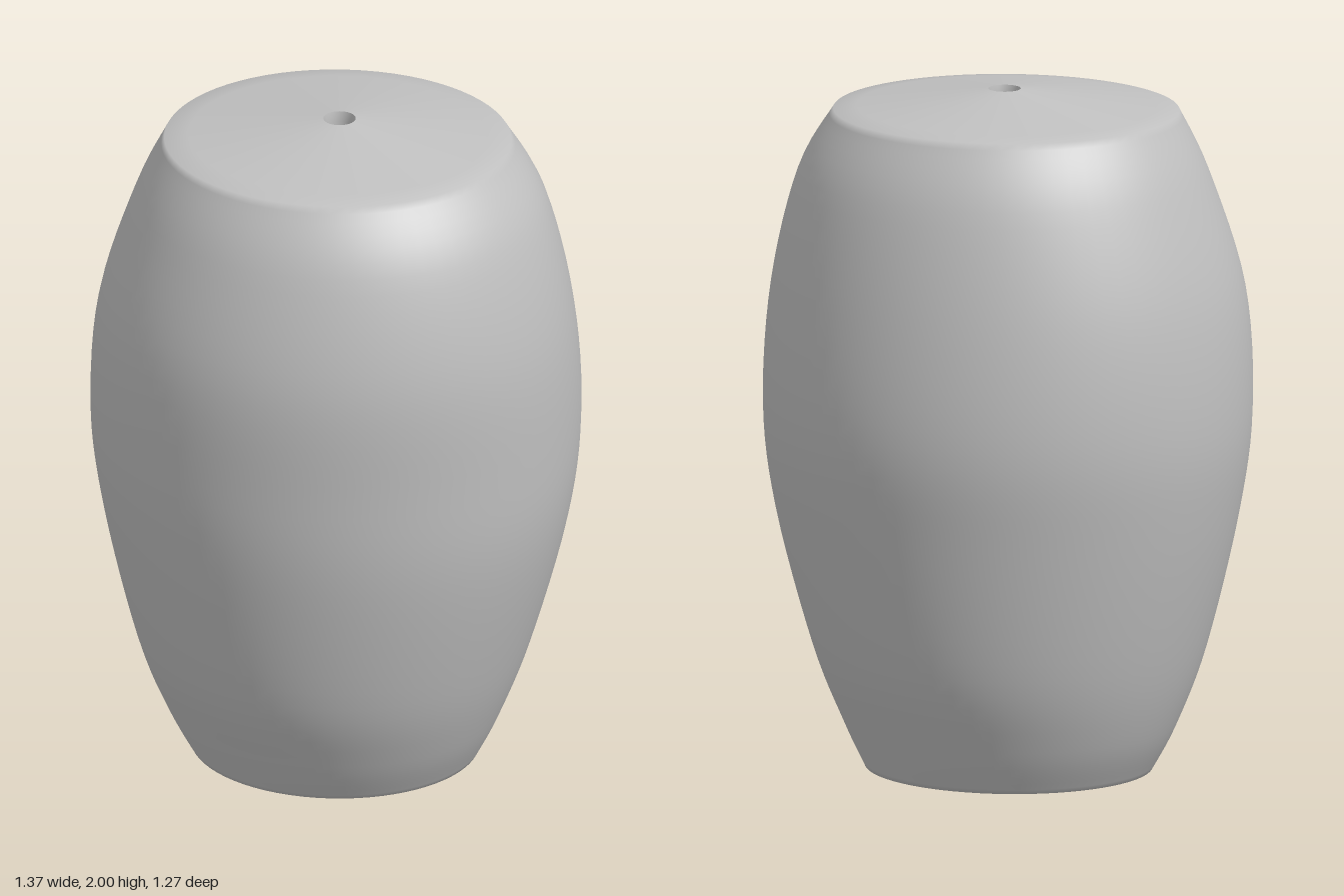
import * as THREE from 'three';

const SEG = 72;
const HOLE = 0.045, HOLE_X = 0.01;

// Half-widths at each height, in eight directions from +x round through +z
const LEVELS = [
  [0.07, [0.41, 0.37, 0.36, 0.40, 0.39, 0.41, 0.375, 0.385]],
  [0.20, [0.47, 0.44, 0.435, 0.46, 0.465, 0.48, 0.435, 0.45]],
  [0.42, [0.54, 0.53, 0.525, 0.55, 0.54, 0.565, 0.505, 0.555]],
  [0.80, [0.645, 0.62, 0.60, 0.633, 0.635, 0.635, 0.585, 0.64]],
  [1.10, [0.68, 0.645, 0.63, 0.66, 0.685, 0.655, 0.63, 0.672]],
  [1.44, [0.68, 0.645, 0.623, 0.656, 0.66, 0.615, 0.62, 0.62]],
  [1.76, [0.615, 0.56, 0.555, 0.55, 0.57, 0.525, 0.55, 0.54]],
  [1.94, [0.50, 0.46, 0.45, 0.47, 0.475, 0.45, 0.445, 0.46]],
];

// Smooth closed outline whose widths match the eight given ones
function outline(widths, y) {
  const harmonics = [0, 1, 2].map((k) => {
    let a = 0, b = 0;
    widths.forEach((w, i) => {
      a += w * Math.cos((k * i * Math.PI) / 4);
      b += w * Math.sin((k * i * Math.PI) / 4);
    });
    const n = k === 0 ? 8 : 4;
    return [a / n, b / n];
  });
  return Array.from({ length: SEG }, (_, j) => {
    const t = (j / SEG) * Math.PI * 2, c = Math.cos(t), s = Math.sin(t);
    let h = 0, d = 0;
    harmonics.forEach(([a, b], k) => {
      h += a * Math.cos(k * t) + b * Math.sin(k * t);
      d += k * (b * Math.cos(k * t) - a * Math.sin(k * t));
    });
    return new THREE.Vector3(h * c - d * s, y, h * s + d * c);
  });
}

function circle(radius, y) {
  return Array.from({ length: SEG }, (_, j) => {
    const t = (j / SEG) * Math.PI * 2;
    return new THREE.Vector3(HOLE_X + radius * Math.cos(t), y, radius * Math.sin(t));
  });
}

const blend = (a, b, t) => a.map((p, j) => p.clone().lerp(b[j], t));

// Skin a list of closed rings
function loft(rings) {
  const index = [];
  for (let i = 0; i < rings.length - 1; i++) {
    for (let j = 0; j < SEG; j++) {
      const k = (j + 1) % SEG;
      const a = i * SEG + j, b = i * SEG + k, c = a + SEG, d = b + SEG;
      index.push(a, c, b, b, c, d);
    }
  }
  const geometry = new THREE.BufferGeometry().setFromPoints(rings.flat());
  geometry.setIndex(index);
  geometry.computeVertexNormals();
  return geometry;
}

export function createModel() {
  const group = new THREE.Group();
  group.name = 'barrelBead';
  const grey = new THREE.MeshStandardMaterial({ color: 0xc0c0c0 });
  grey.name = 'grey';

  // Bulging, slightly twisted side wall
  const curves = LEVELS[0][1].map((_, i) =>
    new THREE.SplineCurve(LEVELS.map(([y, w]) => new THREE.Vector2(w[i], y))));
  const wall = [];
  const STEPS = 42;
  for (let i = 0; i <= STEPS; i++) {
    const points = curves.map((curve) => curve.getPoint(i / STEPS));
    wall.push(outline(points.map((p) => p.x), points[0].y));
  }

  // Shallow cones close both ends up to the hole
  const bottom = circle(HOLE, 0), top = circle(HOLE, 2);
  const steps = [0.3, 0.6, 0.85];
  const rings = [
    bottom, ...steps.map((t) => blend(bottom, wall[0], t)),
    ...wall,
    ...steps.map((t) => blend(wall[STEPS], top, 1 - t)).reverse(), top,
  ];
  const body = new THREE.Mesh(loft(rings), grey);
  body.name = 'body';
  group.add(body);

  // Narrow bore through the middle
  const bore = new THREE.Mesh(
    loft([top, circle(0.04, 1.97), circle(0.04, 0.03), bottom]), grey);
  bore.name = 'bore';
  group.add(bore);
  return group;
}
